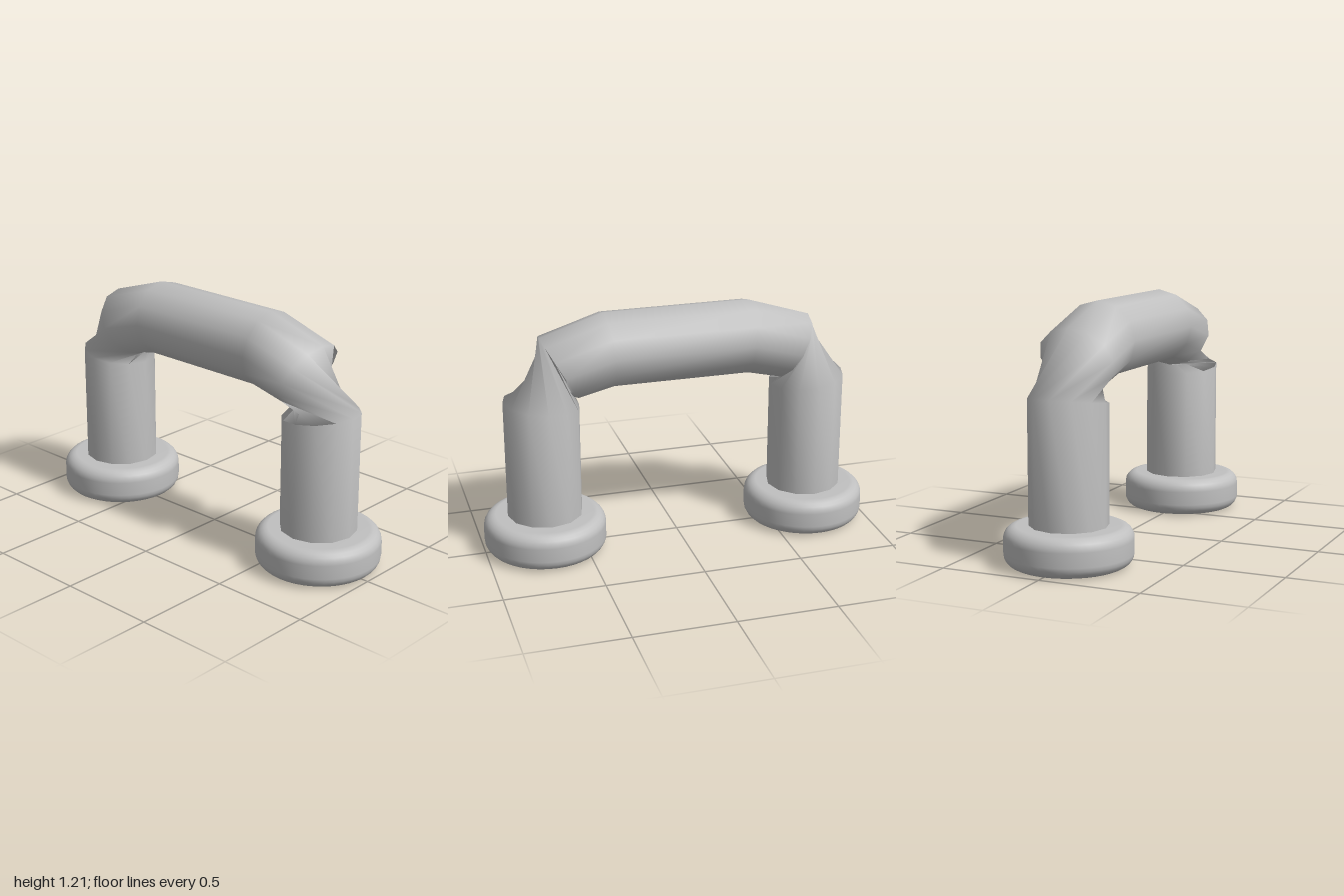
import * as THREE from 'three';

const SIDES = 12;
const TWIST = -Math.PI / 2; // legs are turned a quarter against the bar

// Bent tube: rings run from the left-hand foot, over the bar, to the other foot
function tubeGeometry() {
  // centre x, y; outward direction x, y (its length is the radius); twist
  const half = [
    [0.69, 0.1, 0.19, 0, TWIST],
    [0.69, 0.775, 0.19, 0.025, TWIST],
    [0.6, 0.955, 0.09, 0.155, 0],
    [0.355, 1.025, 0.015, 0.187, 0],
  ];
  const mirrored = half.map(([x, y, ox, oy, t]) => [-x, y, -ox, oy, t]);
  const rings = [...mirrored, ...half.reverse()];

  const positions = [];
  const indices = [];
  rings.forEach(([x, y, ox, oy, twist], k) => {
    for (let j = 0; j < SIDES; j++) {
      const a = (j / SIDES) * Math.PI * 2 + twist;
      const c = Math.cos(a);
      positions.push(x + ox * c, y + oy * c, 0.19 * Math.sin(a));
      if (k === rings.length - 1) continue;
      const n = (j + 1) % SIDES;
      const p = k * SIDES + j, q = k * SIDES + n;
      indices.push(p, q, p + SIDES, q, q + SIDES, p + SIDES);
    }
  });
  const geometry = new THREE.BufferGeometry();
  geometry.setAttribute('position', new THREE.Float32BufferAttribute(positions, 3));
  geometry.setIndex(indices);
  geometry.computeVertexNormals();
  return geometry;
}

// Round foot with softened rims
function footGeometry() {
  const R = 0.308, H = 0.19, r = 0.06, steps = 5;
  const profile = [new THREE.Vector2(0, 0)];
  for (const [cy, start] of [[r, -Math.PI / 2], [H - r, 0]]) {
    for (let i = 0; i <= steps; i++) {
      const a = start + (i / steps) * (Math.PI / 2);
      profile.push(new THREE.Vector2(R - r + r * Math.cos(a), cy + r * Math.sin(a)));
    }
  }
  profile.push(new THREE.Vector2(0, H));
  return new THREE.LatheGeometry(profile, 40);
}

export function createModel() {
  const group = new THREE.Group();
  group.name = 'pullHandle';
  const metal = new THREE.MeshStandardMaterial({ color: 0xc0c0c0, side: THREE.DoubleSide });
  metal.name = 'lightGrey';

  const tube = new THREE.Mesh(tubeGeometry(), metal);
  tube.name = 'handleTube';
  group.add(tube);

  const foot = footGeometry();
  for (const side of [-1, 1]) {
    const mesh = new THREE.Mesh(foot, metal);
    mesh.name = side > 0 ? 'leftFoot' : 'rightFoot';
    mesh.position.x = side * 0.692;
    group.add(mesh);
  }
  return group;
}
